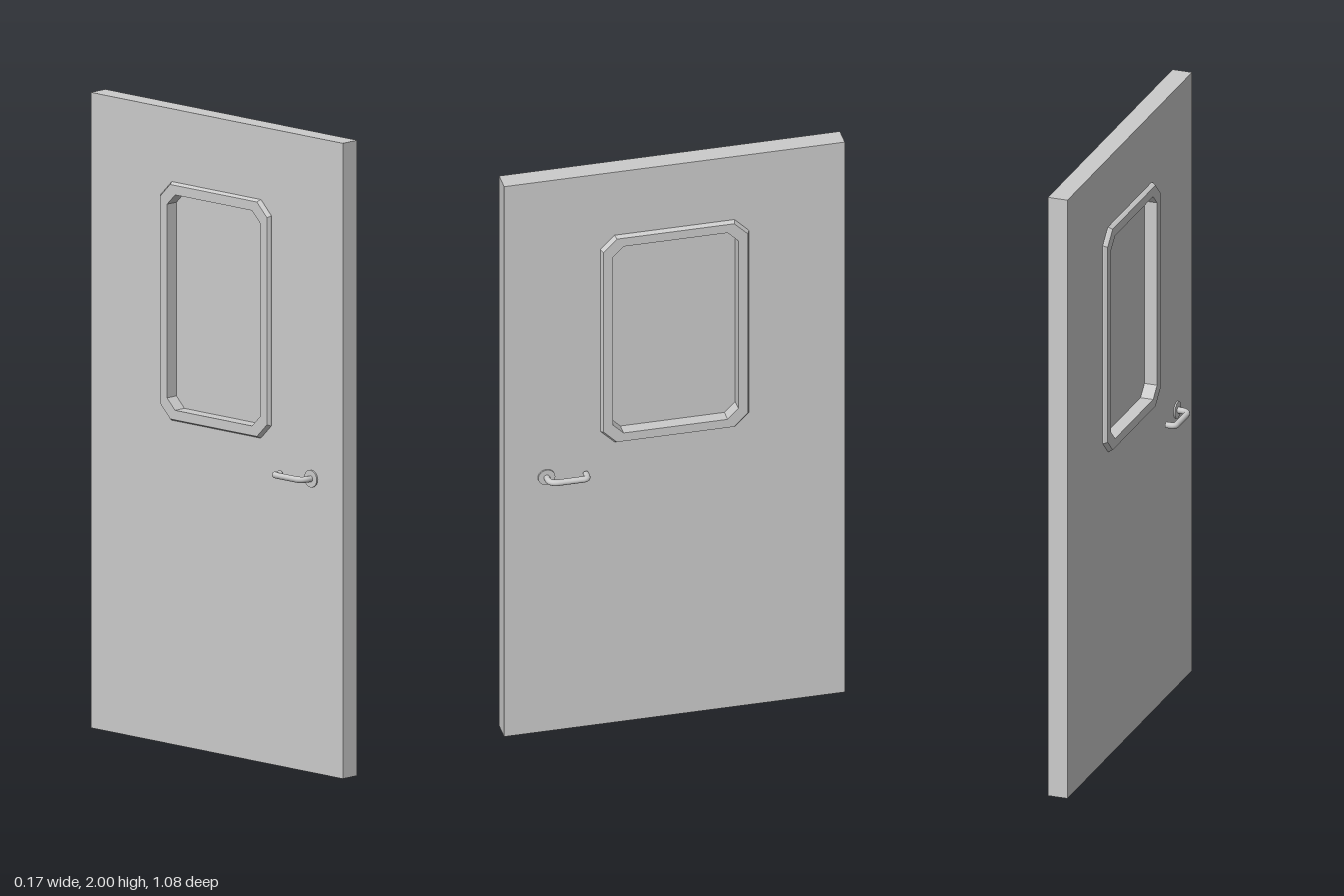
import * as THREE from 'three';

const WIN_Y = 1.396;   // window centre height
const HALF_T = 0.032;  // half door thickness
const mat = new THREE.MeshStandardMaterial({ color: 0xcccccc, side: THREE.DoubleSide });
const flat = new THREE.MeshStandardMaterial({ color: 0xcccccc, flatShading: true, side: THREE.DoubleSide });

function add(parent, geometry, material, name) {
  const mesh = new THREE.Mesh(geometry, material);
  mesh.name = name;
  parent.add(mesh);
  return mesh;
}

// Window outline with cut corners, moved inwards by inset; x of the point is the door's z
function outline(inset) {
  const w = 0.235 - inset, h = 0.375 - inset, c = 0.045 - inset * 0.3;
  return [[w, c - h], [w, h - c], [w - c, h], [c - w, h], [-w, h - c], [-w, c - h], [c - w, -h], [w - c, -h]]
    .map(([a, b]) => new THREE.Vector2(a, b + WIN_Y));
}

// Slab lying in the z-y plane, centred on x = 0
function slab(shape, thickness) {
  return new THREE.ExtrudeGeometry(shape, { depth: thickness, bevelEnabled: false })
    .translate(0, 0, -thickness / 2).rotateY(-Math.PI / 2);
}

// Frame: a bevelled section [inset, x] carried round the outline
function frameGeometry() {
  const section = [[0, -0.036], [0.006, -0.0465], [0.036, -0.0465], [0.036, 0.0465], [0.006, 0.0465], [0, 0.036]];
  const rings = section.map(([inset, x]) => outline(inset).map((p) => [x, p.y, p.x]));
  const positions = [];
  rings.forEach((ring, i) => {
    const next = rings[(i + 1) % rings.length];
    for (let j = 0; j < ring.length; j++) {
      const k = (j + 1) % ring.length;
      positions.push(...ring[j], ...next[j], ...next[k], ...ring[j], ...next[k], ...ring[k]);
    }
  });
  const g = new THREE.BufferGeometry();
  g.setAttribute('position', new THREE.Float32BufferAttribute(positions, 3));
  g.computeVertexNormals();
  return g;
}

// Lever on the +x face: out from the rosette, along the door, back towards it
function createHandle() {
  const handle = new THREE.Group();
  handle.name = 'handle';
  const v = (x, z) => new THREE.Vector3(x, 0, z);
  const path = new THREE.CurvePath();
  path.add(new THREE.LineCurve3(v(0.028, 0.406), v(0.046, 0.406)));
  path.add(new THREE.QuadraticBezierCurve3(v(0.046, 0.406), v(0.074, 0.406), v(0.074, 0.376)));
  path.add(new THREE.LineCurve3(v(0.074, 0.376), v(0.074, 0.297)));
  path.add(new THREE.QuadraticBezierCurve3(v(0.074, 0.297), v(0.074, 0.284), v(0.061, 0.284)));
  path.add(new THREE.LineCurve3(v(0.061, 0.284), v(0.044, 0.284)));
  add(handle, new THREE.TubeGeometry(path, 48, 0.0098, 12), mat, 'lever');

  const cap = add(handle, new THREE.CircleGeometry(0.0098, 12), mat, 'leverEnd');
  cap.rotation.y = -Math.PI / 2;
  cap.position.set(0.044, 0, 0.284);

  const rosette = add(handle, new THREE.CylinderGeometry(0.027, 0.027, 0.01, 24), mat, 'rosette');
  rosette.rotation.z = Math.PI / 2;
  rosette.position.set(HALF_T, 0, 0.406);
  handle.position.y = 0.925;
  return handle;
}

export function createModel() {
  const door = new THREE.Group();
  door.name = 'door';

  // Leaf with the window opening hidden behind the frame
  const leaf = new THREE.Shape([[-0.54, 0], [0.54, 0], [0.54, 2], [-0.54, 2]].map((p) => new THREE.Vector2(...p)));
  leaf.holes.push(new THREE.Path(outline(0.02)));
  add(door, slab(leaf, HALF_T * 2), flat, 'leaf');

  // Window
  add(door, frameGeometry(), flat, 'windowFrame');
  add(door, slab(new THREE.Shape(outline(0.03)), 0.01), flat, 'windowPane');

  // One handle on each face
  const right = createHandle();
  const left = createHandle();
  left.rotation.z = Math.PI;
  door.add(right, left);

  door.position.x = -0.0015;
  const model = new THREE.Group();
  model.add(door);
  return model;
}
